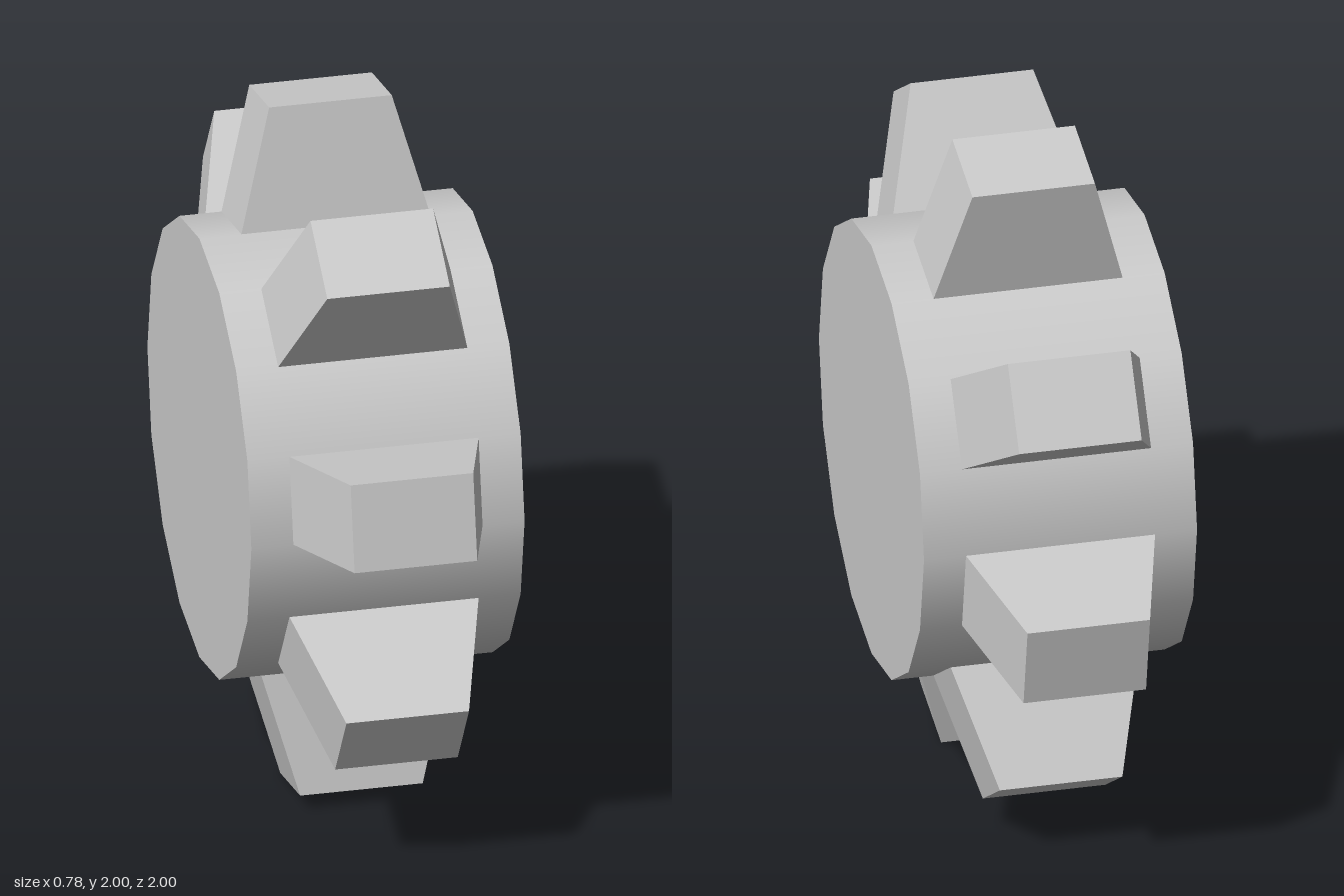
import * as THREE from 'three';

const SIDES = 16;
const RADIUS = 0.65;
const STEP = (Math.PI * 2) / SIDES;

// Block with a long base that narrows along x towards its outer end
function toothGeometry() {
  const inner = RADIUS * Math.cos(STEP / 2);
  const outer = 0.994;
  const width = 2 * RADIUS * Math.sin(STEP / 2); // one drum facet
  const geo = new THREE.BoxGeometry(0.54, outer - inner, width);
  const pos = geo.attributes.position;
  for (let i = 0; i < pos.count; i++) {
    if (pos.getY(i) > 0) pos.setX(i, Math.sign(pos.getX(i)) * 0.175);
  }
  geo.translate(0, (inner + outer) / 2, 0);
  geo.computeVertexNormals();
  return geo;
}

export function createModel() {
  const model = new THREE.Group();
  model.name = 'cogWheel';
  const material = new THREE.MeshStandardMaterial({ color: 0xcccccc });

  // Drum lying along x, smooth around its rim
  const drumGeo = new THREE.CylinderGeometry(RADIUS, RADIUS, 0.78, SIDES);
  drumGeo.rotateZ(Math.PI / 2);
  const drum = new THREE.Mesh(drumGeo, material);
  drum.name = 'drum';
  drum.position.y = 1;
  model.add(drum);

  // A tooth on every second facet
  const teeth = new THREE.Group();
  teeth.name = 'teeth';
  teeth.position.y = 1;
  const geo = toothGeometry();
  for (let i = 0; i < SIDES / 2; i++) {
    const tooth = new THREE.Mesh(geo, material);
    tooth.name = `tooth${i + 1}`;
    tooth.rotation.x = -STEP / 2 + i * STEP * 2;
    teeth.add(tooth);
  }
  model.add(teeth);

  return model;
}
